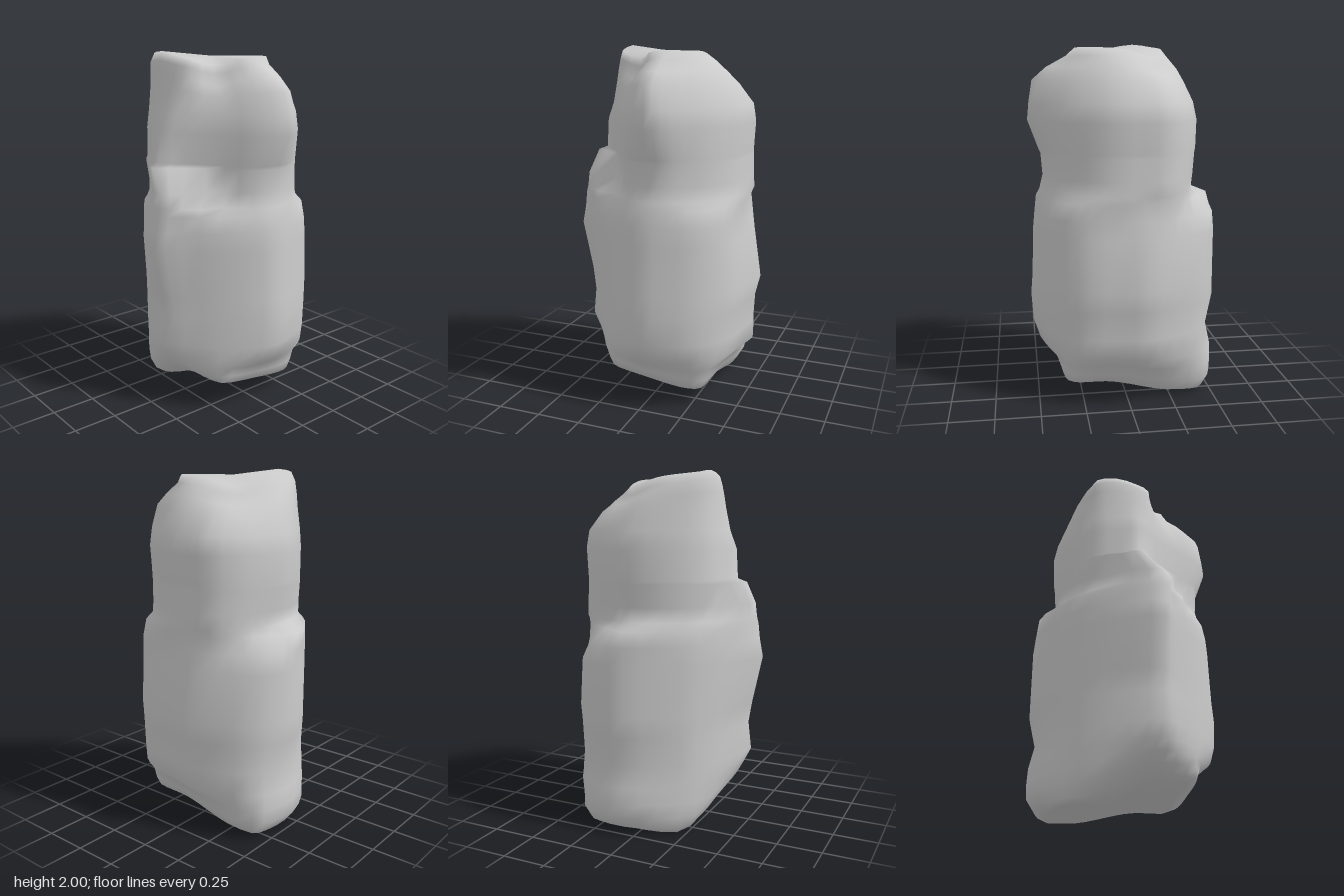
import * as THREE from 'three';

const SEG = 36;
const { smoothstep, lerp } = THREE.MathUtils;

// Closed outlines seen from above as [x, z], starting at the front and turning towards +x.
const footOutline = [
  [0.0, 0.36], [0.14, 0.36], [0.26, 0.35], [0.34, 0.31], [0.36, 0.18], [0.36, 0.05],
  [0.37, -0.1], [0.38, -0.25], [0.37, -0.44], [0.25, -0.5], [0.08, -0.52], [-0.12, -0.45],
  [-0.3, -0.3], [-0.34, -0.1], [-0.34, 0.05], [-0.33, 0.2], [-0.26, 0.33], [-0.12, 0.36],
];
const bodyOutline = [
  [0.03, 0.53], [0.15, 0.5], [0.28, 0.45], [0.4, 0.35], [0.48, 0.22], [0.51, 0.05],
  [0.53, -0.09], [0.47, -0.25], [0.36, -0.44], [0.2, -0.53], [0.05, -0.53], [-0.14, -0.43],
  [-0.31, -0.31], [-0.47, -0.05], [-0.53, 0.11], [-0.42, 0.2], [-0.27, 0.35], [-0.08, 0.5],
];
const headOutline = [
  [0.05, 0.53], [0.14, 0.5], [0.23, 0.42], [0.34, 0.31], [0.43, 0.16], [0.46, 0.04],
  [0.46, -0.08], [0.45, -0.21], [0.34, -0.33], [0.2, -0.4], [0.05, -0.44], [-0.15, -0.38],
  [-0.31, -0.25], [-0.37, -0.1], [-0.4, 0.0], [-0.31, 0.12], [-0.18, 0.3], [-0.09, 0.45],
];
const crownOutline = [
  [0.04, 0.34], [0.1, 0.31], [0.16, 0.27], [0.21, 0.2], [0.25, 0.12], [0.27, 0.03],
  [0.26, -0.06], [0.22, -0.14], [0.15, -0.2], [0.06, -0.24], [-0.03, -0.27], [-0.14, -0.29],
  [-0.28, -0.24], [-0.31, -0.12], [-0.3, 0.02], [-0.26, 0.1], [-0.13, 0.13], [-0.04, 0.26],
];

// Cross-sections: height, stage (0 foot, 1 body or head, 2 crown), left/right x, back/front z.
const levels = [
  [0.0, 0, -0.2, 0.27, -0.4, 0.29],
  [0.03, 0, -0.27, 0.33, -0.47, 0.36],
  [0.1, 0.1, -0.34, 0.37, -0.52, 0.38],
  [0.18, 0.35, -0.4, 0.4, -0.525, 0.41],
  [0.27, 0.7, -0.43, 0.49, -0.52, 0.49],
  [0.4, 0.95, -0.47, 0.49, -0.49, 0.52],
  [0.56, 1, -0.45, 0.5, -0.53, 0.53],
  [0.68, 1, -0.47, 0.53, -0.53, 0.52],
  [0.96, 1, -0.53, 0.48, -0.53, 0.51],
  [1.06, 1, -0.51, 0.465, -0.52, 0.5],
  [1.15, 1, -0.5, 0.46, -0.51, 0.49],
  [1.19, 1, -0.49, 0.46, -0.41, 0.47],
  [1.27, 1, -0.48, 0.455, -0.42, 0.45],
  [1.395, 1, -0.46, 0.45, -0.43, 0.46],
  [1.415, 1, -0.41, 0.45, -0.435, 0.47],
  [1.58, 1, -0.4, 0.46, -0.44, 0.53],
  [1.68, 1.1, -0.36, 0.45, -0.42, 0.52],
  [1.8, 1.4, -0.33, 0.38, -0.37, 0.5],
  [1.87, 1.7, -0.32, 0.33, -0.34, 0.42],
  [1.93, 2, -0.31, 0.27, -0.3, 0.31],
  [1.975, 2, -0.29, 0.21, -0.26, 0.26],
];

function sampleOutline(points) {
  const curve = new THREE.CatmullRomCurve3(points.map(([x, z]) => new THREE.Vector3(x, 0, z)), true);
  return Array.from({ length: SEG }, (_, i) => curve.getPoint(i / SEG));
}

const bump = (x, z, cx, cz, r) => Math.exp(-((x - cx) ** 2 + (z - cz) ** 2) / (r * r));

// 0 below the shoulder, 1 above it; the shoulder is high at -x and low at the back of +x.
function shoulder({ x, z }, y) {
  const height = 1.18 + 0.22 * bump(x, z, -0.5, 0.08, 0.22) - 0.12 * bump(x, z, 0.4, -0.35, 0.25);
  return smoothstep(y, height - 0.06, height + 0.02);
}

// Moves the widest points of a ring to the given limits and leaves its corners full.
function fit(v, min, max, newMin, newMax) {
  const [from, to] = v < 0 ? [min, newMin] : [max, newMax];
  return v * lerp(1, to / from, (v / from) ** 3);
}

// Slopes the underside up to the front, and shapes the peak and valley on the crown.
function shapeHeight(x, y, z) {
  if (y < 0.4) {
    const tilt = 0.08 + 0.07 * smoothstep(-x, -0.3, 0.3);
    return y + tilt * smoothstep(z, -0.3, 0.15) * (1 - y / 0.4);
  }
  return y + smoothstep(y, 1.6, 1.95) * (0.03 * bump(x, z, -0.26, -0.12, 0.12)
    - 0.06 * bump(x, z, -0.15, 0.18, 0.1)
    - 0.06 * bump(x, z, 0.2, -0.22, 0.18));
}

function rockGeometry() {
  const [foot, body, head, crown] = [footOutline, bodyOutline, headOutline, crownOutline].map(sampleOutline);
  const positions = [];
  const index = [];

  for (const [y, stage, x0, x1, z0, z1] of levels) {
    const ring = body.map((p, i) => {
      const trunk = p.clone().lerp(head[i], shoulder(p, y));
      return stage < 1 ? trunk.lerp(foot[i], 1 - stage) : trunk.lerp(crown[i], stage - 1);
    });
    const { min, max } = new THREE.Box3().setFromPoints(ring);
    for (const p of ring) {
      const x = fit(p.x, min.x, max.x, x0, x1);
      const z = fit(p.z, min.z, max.z, z0, z1);
      positions.push(x, shapeHeight(x, y, z), z);
    }
  }

  // Side skin
  for (let l = 0; l < levels.length - 1; l++) {
    for (let i = 0; i < SEG; i++) {
      const a = l * SEG + i;
      const b = l * SEG + ((i + 1) % SEG);
      index.push(a, b, b + SEG, a, b + SEG, a + SEG);
    }
  }

  // Underside and crown
  const bottom = positions.length / 3;
  positions.push(0.03, 0.07, -0.05, -0.03, 1.975, 0);
  const last = (levels.length - 1) * SEG;
  for (let i = 0; i < SEG; i++) {
    const j = (i + 1) % SEG;
    index.push(bottom, j, i, bottom + 1, last + i, last + j);
  }

  const geometry = new THREE.BufferGeometry();
  geometry.setAttribute('position', new THREE.Float32BufferAttribute(positions, 3));
  geometry.setIndex(index);
  geometry.computeVertexNormals();
  return geometry;
}

export function createModel() {
  const group = new THREE.Group();
  group.name = 'standingRock';
  const rock = new THREE.Mesh(rockGeometry(), new THREE.MeshStandardMaterial({ color: 0xcccccc }));
  rock.name = 'rock';
  group.add(rock);
  return group;
}
